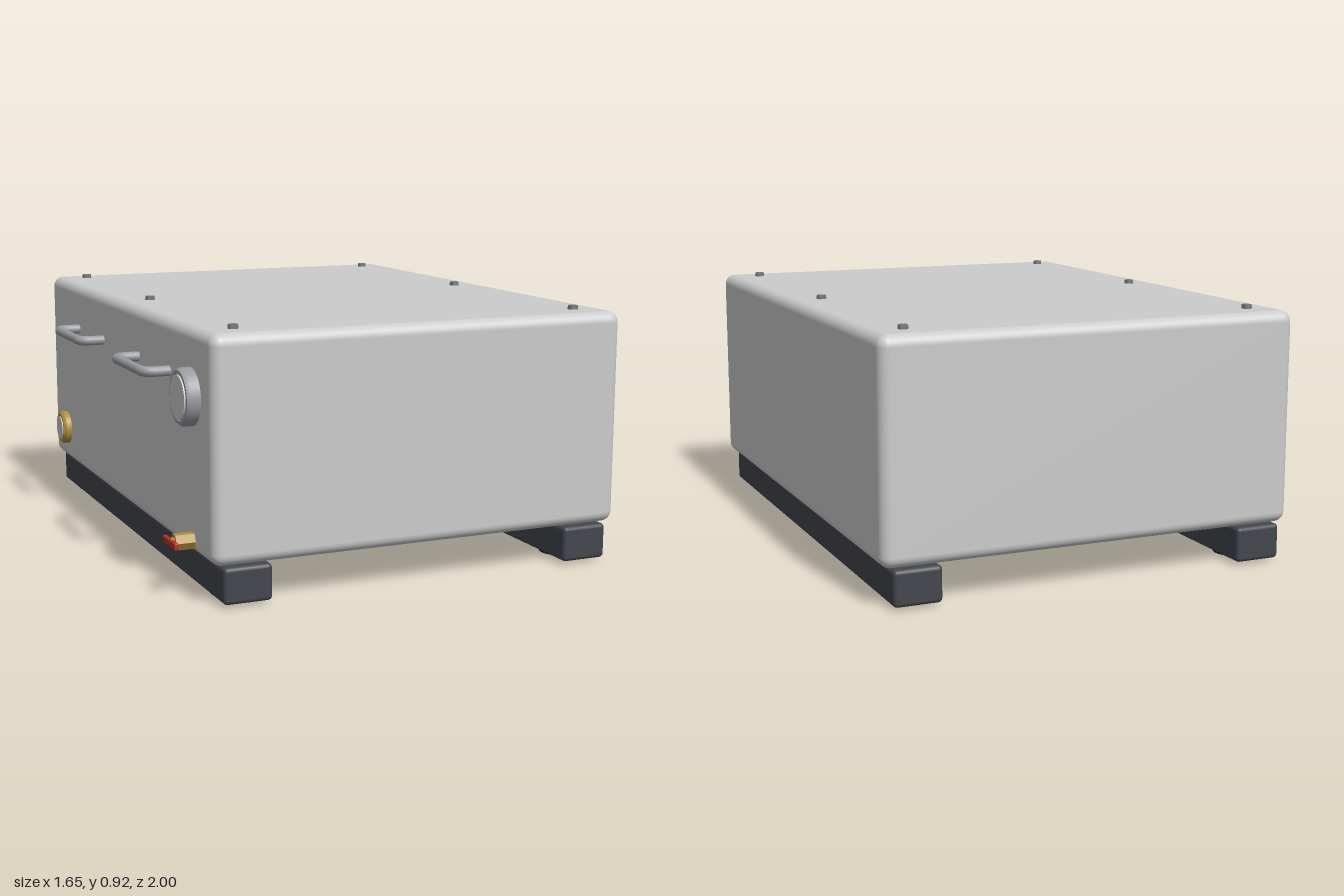
import * as THREE from 'three';
import { RoundedBoxGeometry } from 'three/addons/geometries/RoundedBoxGeometry.js';
import { toCreasedNormals } from 'three/addons/utils/BufferGeometryUtils.js';

const material = (color) => new THREE.MeshStandardMaterial({ color });

export function createModel() {
  const model = new THREE.Group();
  const grey = material(0xcccccc);
  const steel = material(0x9a9da3);
  const boltSteel = material(0x77797d);
  const dark = material(0x43464d);
  const rubber = material(0x1c1c1e);
  const brass = material(0xb08d3c);
  const red = material(0xb5322a);

  const add = (name, geometry, mat, x, y, z, parent = model) => {
    const mesh = new THREE.Mesh(geometry, mat);
    mesh.name = name;
    mesh.position.set(x, y, z);
    parent.add(mesh);
    return mesh;
  };

  // Turned part whose axis points out of the side wall towards -x; profile is [radius, height]
  const turned = (profile, sides = 40) => {
    const points = profile.map(([r, h]) => new THREE.Vector2(r, h));
    return toCreasedNormals(new THREE.LatheGeometry(points, sides).rotateZ(Math.PI / 2), 0.6);
  };

  const wall = -0.72;

  // Housing and the shallow tray hanging below it
  add('housing', new RoundedBoxGeometry(1.545, 0.767, 2, 6, 0.04), grey, 0.0525, 0.5225, 0);
  add('bottomTray', new RoundedBoxGeometry(0.755, 0.2, 1, 6, 0.045), grey, 0.0525, 0.11, 0);
  add('trayPlug', turned([[0, 0], [0.055, 0], [0.055, 0.04], [0.048, 0.05], [0, 0.05]]), rubber, -0.32, 0.1, 0);

  // Skids with two round feet each
  for (const x of [-0.598, 0.7]) {
    add('skid', new RoundedBoxGeometry(0.172, 0.127, 2, 3, 0.015), dark, x, 0.0735, 0);
    for (const z of [-0.825, 0.825]) {
      add('foot', new THREE.CylinderGeometry(0.075, 0.068, 0.018, 32), rubber, x, 0.009, z);
    }
  }

  // Lid bolts
  for (const x of [-0.6, 0.7]) {
    for (const z of [-0.875, 0, 0.875]) {
      add('lidBolt', toCreasedNormals(new THREE.CylinderGeometry(0.018, 0.02, 0.025, 8), 0.5), boltSteel, x, 0.908, z);
    }
  }

  // Bent-rod handles on the side wall
  const r = 0.018, out = -0.811, half = 0.175, bend = 0.045;
  const path = new THREE.CurvePath();
  const p = (x, z) => new THREE.Vector3(x, 0, z);
  path.add(new THREE.LineCurve3(p(wall + 0.01, -half), p(out + bend, -half)));
  path.add(new THREE.QuadraticBezierCurve3(p(out + bend, -half), p(out, -half), p(out, -half + bend)));
  path.add(new THREE.LineCurve3(p(out, -half + bend), p(out, half - bend)));
  path.add(new THREE.QuadraticBezierCurve3(p(out, half - bend), p(out, half), p(out + bend, half)));
  path.add(new THREE.LineCurve3(p(out + bend, half), p(wall + 0.01, half)));
  for (const z of [-0.402, 0.402]) {
    add('handle', new THREE.TubeGeometry(path, 64, r, 14), steel, 0, 0.73, z);
  }

  // Round gauge near the front
  const gauge = new THREE.Group();
  gauge.name = 'gauge';
  gauge.position.set(wall, 0.677, 0.798);
  model.add(gauge);
  add('gaugeBody', turned([
    [0, -0.01], [0.098, -0.01], [0.098, 0.032], [0.09, 0.046],
    [0.078, 0.046], [0.078, 0.038], [0, 0.038],
  ]), steel, 0, 0, 0, gauge);
  add('gaugeFace', turned([[0, 0.03], [0.075, 0.03], [0.075, 0.05], [0, 0.05]]), grey, 0, 0, 0, gauge);

  // Brass-rimmed sight glass near the back
  const sight = new THREE.Group();
  sight.name = 'sightGlass';
  sight.position.set(wall, 0.28, -0.802);
  model.add(sight);
  add('sightRim', turned([
    [0, -0.01], [0.068, -0.01], [0.068, 0.022], [0.06, 0.032],
    [0.048, 0.032], [0.048, 0.025], [0, 0.025],
  ]), brass, 0, 0, 0, sight);
  add('sightLens', turned([[0, 0.02], [0.047, 0.02], [0.047, 0.036], [0, 0.036]]), grey, 0, 0, 0, sight);

  // Drain valve: hex body, stem and a flat lever
  const valve = new THREE.Group();
  valve.name = 'drainValve';
  valve.position.set(wall, 0.188, 0.8);
  model.add(valve);
  add('valveBody', turned([[0, -0.01], [0.03, -0.01], [0.03, 0.068], [0, 0.068]], 6), brass, 0, 0, 0, valve);
  add('valveStem', turned([[0, 0.05], [0.016, 0.05], [0.016, 0.08], [0, 0.08]], 20), brass, 0, 0, 0, valve);
  add('valveLever', new RoundedBoxGeometry(0.016, 0.026, 0.124, 3, 0.006), red, -0.079, 0, 0, valve);

  return model;
}
